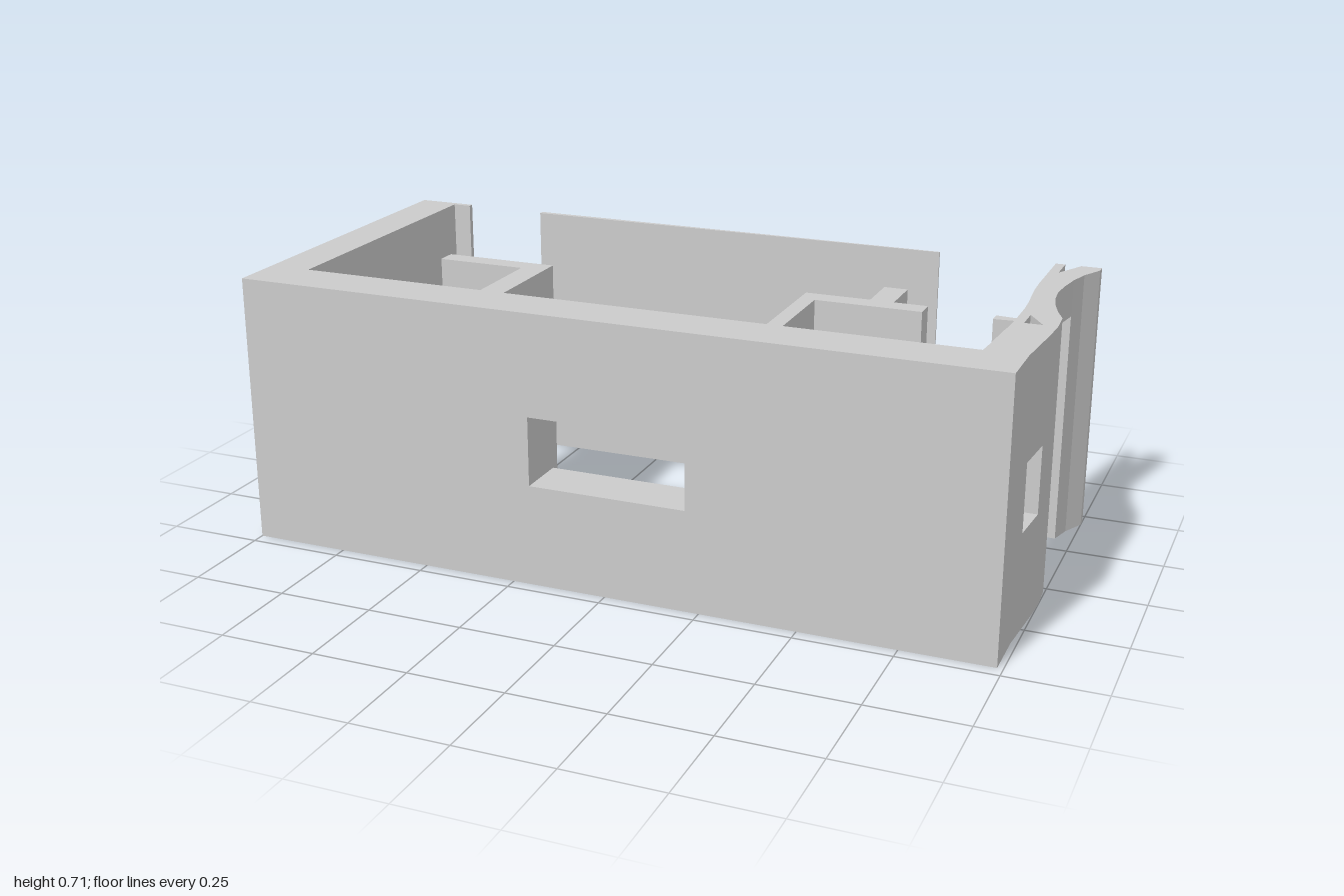
import * as THREE from 'three';

const H = 0.71;
const material = new THREE.MeshStandardMaterial({ color: 0xcccccc, flatShading: true });

function part(name, geometry) {
  const mesh = new THREE.Mesh(geometry, material);
  mesh.name = name;
  return mesh;
}

// Upright slab from u0 to u1 with one window [u0, u1, y0, y1]
function windowedSlab(u0, u1, depth, [a, b, y0, y1]) {
  const shape = new THREE.Shape([[u0, 0], [u1, 0], [u1, H], [u0, H]].map(p => new THREE.Vector2(...p)));
  shape.holes.push(new THREE.Path([[a, y0], [a, y1], [b, y1], [b, y0]].map(p => new THREE.Vector2(...p))));
  return new THREE.ExtrudeGeometry(shape, { depth, bevelEnabled: false });
}

// Full-height wall drawn as a floor plan of [x, z] points
function planWall(points) {
  const shape = new THREE.Shape(points.map(([x, z]) => new THREE.Vector2(x, -z)));
  return new THREE.ExtrudeGeometry(shape, { depth: H, bevelEnabled: false }).rotateX(-Math.PI / 2);
}

// Skin of the filled cells in a warped grid; at(i, j, k) gives a corner
function gridSolid(size, at, filled) {
  const pos = [];
  const solid = c => c.every((v, a) => v >= 0 && v < size[a]) && filled(...c);
  for (let i = 0; i < size[0]; i++) for (let j = 0; j < size[1]; j++) for (let k = 0; k < size[2]; k++) {
    const cell = [i, j, k];
    if (!solid(cell)) continue;
    for (let a = 0; a < 3; a++) for (const side of [0, 1]) {
      const next = cell.slice();
      next[a] += side ? 1 : -1;
      if (solid(next)) continue;
      const q = [[0, 0], [1, 0], [1, 1], [0, 1]].map(([b, c]) => {
        const p = cell.slice();
        p[a] += side;
        p[(a + 1) % 3] += b;
        p[(a + 2) % 3] += c;
        return new THREE.Vector3(...at(...p));
      });
      if (!side) q.reverse();
      for (const t of [[0, 1, 2], [0, 2, 3]]) {
        const tri = new THREE.Triangle(...t.map(n => q[n]));
        if (tri.getArea() > 1e-7) for (const n of t) pos.push(q[n].x, q[n].y, q[n].z);
      }
    }
  }
  const g = new THREE.BufferGeometry();
  g.setAttribute('position', new THREE.Float32BufferAttribute(pos, 3));
  g.computeVertexNormals();
  return g;
}

// Curved side wall: each station is z, inner x, two cavity x values, outer x
function curvedWall() {
  const stations = [
    [0.33, 0.88, 0.92, 0.92, 0.985],
    [0.29, 0.883, 0.92, 0.92, 0.988],
    [0.165, 0.89, 0.92, 0.92, 0.997],
    [0.145, 0.892, 0.92, 0.92, 0.998],
    [0.09, 0.895, 0.92, 0.965, 1],
    [0.02, 0.895, 0.92, 0.92, 0.996],
    [-0.03, 0.895, 0.92, 0.92, 0.975],
    [-0.09, 0.892, 0.92, 0.92, 0.956],
    [-0.14, 0.887, 0.92, 0.92, 0.946],
    [-0.2, 0.882, 0.91, 0.91, 0.941],
    [-0.26, 0.88, 0.905, 0.905, 0.946],
    [-0.32, 0.88, 0.905, 0.905, 0.955],
    [-0.38, 0.88, 0.905, 0.905, 0.971],
    [-0.44, 0.88, 0.905, 0.935, 1],
    [-0.465, 0.88, 0.905, 0.947, 1],
  ];
  const levels = [0, 0.265, 0.44, 0.615, H];
  const filled = (i, j, k) => {
    const near = stations[i][0], far = stations[i + 1][0];
    const inside = (z0, z1) => near <= z0 && far >= z1;
    if (inside(0.29, 0.165) && j === 1) return false;          // window
    if (inside(-0.09, -0.32) && j < 3) return false;           // doorway
    if (k === 1 && (inside(0.09, 0.02) || near <= -0.38)) return false; // shaft, end notch
    return true;
  };
  return gridSolid([stations.length - 1, 4, 3],
    (i, j, k) => [stations[i][k + 1], levels[j], stations[i][0]], filled);
}

export function createModel() {
  const model = new THREE.Group();
  model.name = 'house walls';

  // Outer walls
  const front = windowedSlab(-1, 0.985, 0.135, [-0.2, 0.213, 0.265, 0.445]).translate(0, 0, 0.33);
  model.add(part('frontWall', front));

  const side = windowedSlab(-0.465, 0.33, 0.11, [-0.285, -0.06, 0.265, 0.44]);
  side.rotateY(-Math.PI / 2).translate(-0.89, 0, 0);
  model.add(part('rightWall', side));
  model.add(part('rightWallReturn', planWall([[-0.89, -0.465], [-0.84, -0.465], [-0.84, -0.45], [-0.89, -0.45]])));

  model.add(part('leftWall', curvedWall()));
  model.add(part('leftWallStub', planWall([[0.845, 0.055], [0.897, 0.06], [0.897, 0.083], [0.845, 0.087]])));

  // Thin rear wall, tapering towards its left end
  const rear = windowedSlab(-0.61, 0.57, 0.015, [-0.2, 0.203, 0.265, 0.445]);
  const p = rear.attributes.position;
  for (let i = 0; i < p.count; i++) {
    const t = (p.getX(i) + 0.61) / 1.18;
    p.setZ(i, -0.465 + p.getZ(i) * (1 - 0.65 * t));
  }
  rear.computeVertexNormals();
  model.add(part('rearWall', rear));

  // Inner partitions
  model.add(part('rightPartition', planWall([
    [-0.325, 0.33], [-0.325, 0.053], [-0.625, 0.053], [-0.625, 0.105], [-0.39, 0.105], [-0.39, 0.33]])));
  model.add(part('leftPartition', planWall([
    [0.405, 0.33], [0.405, 0.095], [0.675, 0.095], [0.675, 0.042], [0.59, 0.042], [0.59, -0.08],
    [0.53, -0.08], [0.53, 0.042], [0.365, 0.042], [0.365, 0.33]])));

  return model;
}
